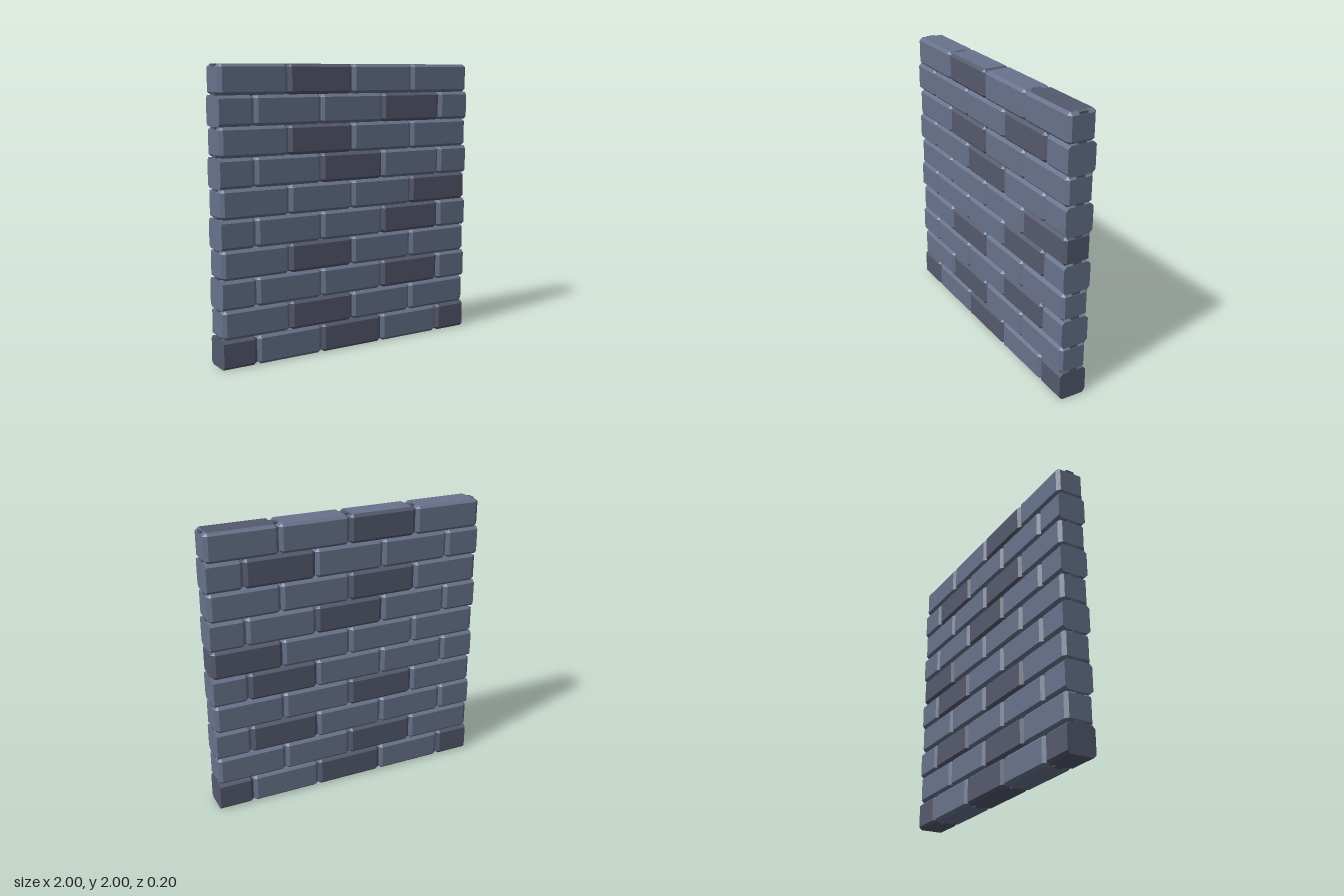
import * as THREE from 'three';
import { ConvexGeometry } from 'three/addons/geometries/ConvexGeometry.js';

const H = 0.2, HALF = 0.1;            // course height, half of height and depth
const BX = 0.026, B = 0.02;           // bevel along the length, bevel on height and depth

const light = new THREE.MeshStandardMaterial({ color: 0x68738c });
const dark = new THREE.MeshStandardMaterial({ color: 0x555a6e });

// Bevelled block from x0 to x1; an end lying on a cut wall edge stays flat.
function brickGeometry(x0, x1, cutLeft, cutRight) {
  const pts = [];
  const inner = HALF - B;
  for (const [x, dir, cut] of [[x0, 1, cutLeft], [x1, -1, cutRight]]) {
    const shoulder = cut ? x : x + dir * BX;
    for (const sy of [-1, 1]) for (const sz of [-1, 1]) {
      if (!cut) pts.push(new THREE.Vector3(x, sy * inner, sz * inner));
      pts.push(new THREE.Vector3(shoulder, sy * HALF, sz * inner));
      pts.push(new THREE.Vector3(shoulder, sy * inner, sz * HALF));
    }
  }
  return new ConvexGeometry(pts);
}

// Material group 1 for the upward face, group 0 for the rest.
function splitTop(geometry) {
  const n = geometry.attributes.normal;
  for (let i = 0; i < n.count; i += 3) geometry.addGroup(i, 3, n.getY(i) > 0.95 ? 1 : 0);
}

// Dark bricks of each course, counted from -x, bottom course first
const darkBricks = [[0, 2, 4], [1], [3], [1], [3], [3], [2], [1], [3], [1]];

export function createModel() {
  const wall = new THREE.Group();
  wall.name = 'brickWall';

  darkBricks.forEach((darks, row) => {
    const course = new THREE.Group();
    course.name = `course${row + 1}`;
    course.position.y = row * H + HALF;
    const offset = row % 2 === 0;     // courses that begin and end with a half brick
    const count = offset ? 5 : 4;
    const start = offset ? -1.25 : -1;
    for (let i = 0; i < count; i++) {
      const x0 = Math.max(-1, start + i * 0.5);
      const x1 = Math.min(1, start + (i + 1) * 0.5);
      const geometry = brickGeometry(x0, x1, offset && i === 0, offset && i === count - 1);
      let material = darks.includes(i) ? dark : light;
      // the top course has its own shade pattern on the upper faces
      if (row === 9) {
        splitTop(geometry);
        material = [material, i === 3 ? dark : light];
      }
      const brick = new THREE.Mesh(geometry, material);
      brick.name = x1 - x0 < 0.4 ? 'halfBrick' : 'brick';
      course.add(brick);
    }
    wall.add(course);
  });

  // Thin mortar sheet closing the joints
  const mortar = new THREE.Mesh(new THREE.BoxGeometry(1.996, 1.996, 0.06), dark);
  mortar.name = 'mortarCore';
  mortar.position.y = 1;
  wall.add(mortar);

  return wall;
}
